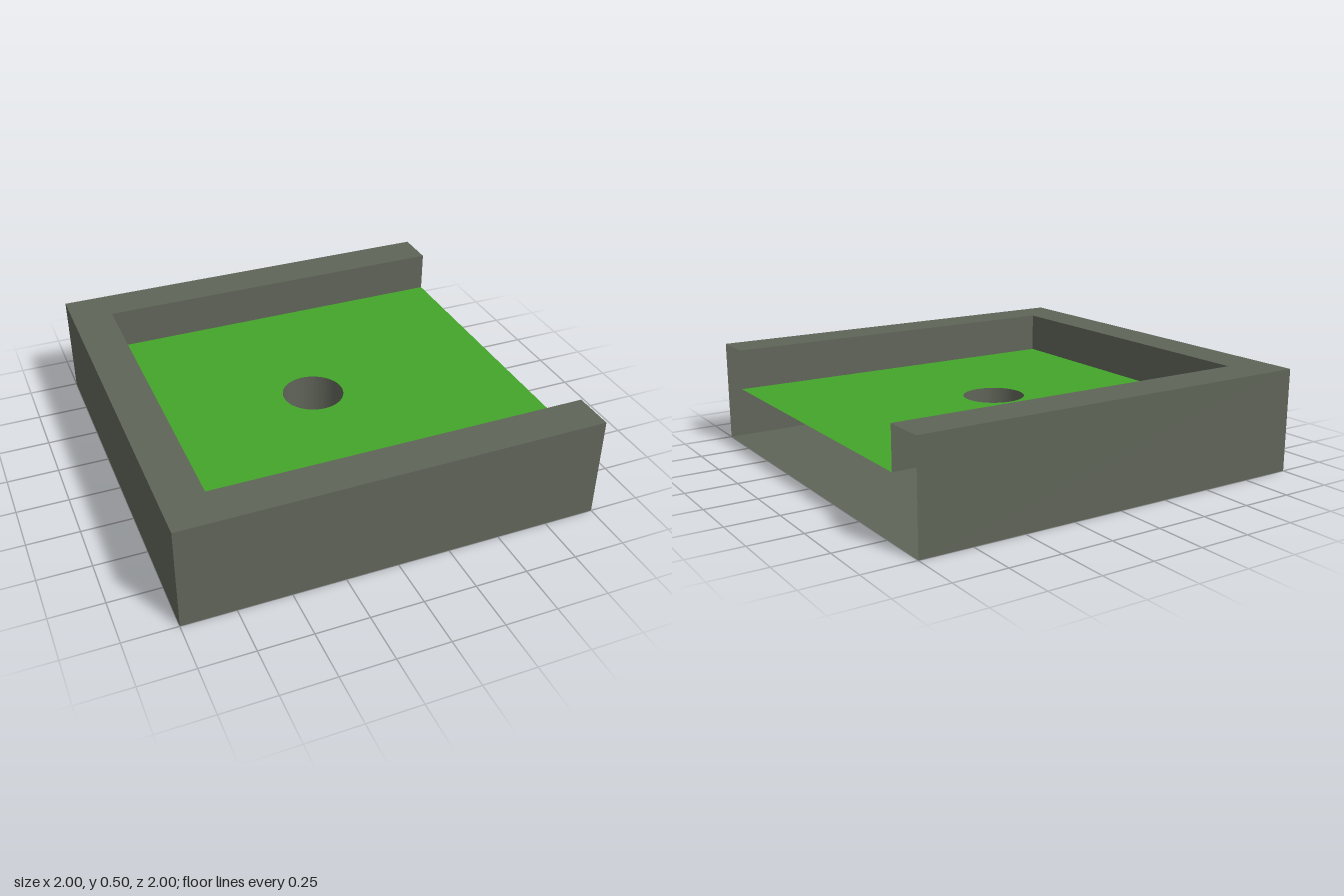
import * as THREE from 'three';

export function createModel() {
  const model = new THREE.Group();
  const stone = new THREE.MeshStandardMaterial({ color: 0x5f6458, side: THREE.DoubleSide });
  const grass = new THREE.MeshStandardMaterial({ color: 0x43a52a, side: THREE.DoubleSide });

  const H = 0.5, FLOOR = 0.3, IN = 0.8, R = 0.15, CUP = 0.1;

  function add(name, geometry, material, x = 0, y = 0, z = 0) {
    const mesh = new THREE.Mesh(geometry, material);
    mesh.name = name;
    mesh.position.set(x, y, z);
    model.add(mesh);
  }
  // upright sheet, turned about y
  const wall = (w, h, turn) => new THREE.PlaneGeometry(w, h).rotateY(turn);
  // flat sheet from an outline, facing up
  const flat = (shape) => new THREE.ShapeGeometry(shape, 24).rotateX(-Math.PI / 2);
  const outline = (points) => new THREE.Shape(points.map(([x, y]) => new THREE.Vector2(x, y)));

  // Outer shell, open at the +x end
  add('base', new THREE.PlaneGeometry(2, 2).rotateX(Math.PI / 2), stone);
  add('endWall', wall(2, H, -Math.PI / 2), stone, -1, H / 2, 0);

  // Inner walls step down from the rim to the green
  const step = H - FLOOR, stepY = (H + FLOOR) / 2;
  add('innerEndWall', wall(2 * IN, step, Math.PI / 2), stone, -IN, stepY, 0);
  for (const [side, s] of [['left', 1], ['right', -1]]) {
    const out = s > 0 ? 0 : Math.PI;
    add(side + 'Wall', wall(2, H, out), stone, 0, H / 2, s);
    add(side + 'InnerWall', wall(1 + IN, step, Math.PI - out), stone, (1 - IN) / 2, stepY, s * IN);
  }

  // U-shaped rim
  add('rim', flat(outline([[-1, -1], [1, -1], [1, -IN], [-IN, -IN],
    [-IN, IN], [1, IN], [1, 1], [-1, 1]])), stone, 0, H, 0);

  // Green with a round hole
  const green = outline([[-IN, -IN], [1, -IN], [1, IN], [-IN, IN]]);
  green.holes.push(new THREE.Path().absarc(0, 0, R, 0, Math.PI * 2, true));
  add('green', flat(green), grass, 0, FLOOR, 0);

  // Cup below the hole
  add('cupWall', new THREE.CylinderGeometry(R, R, FLOOR - CUP, 48, 1, true), stone, 0, (FLOOR + CUP) / 2, 0);
  add('cupBottom', new THREE.CircleGeometry(R, 48).rotateX(-Math.PI / 2), stone, 0, CUP, 0);

  return model;
}
